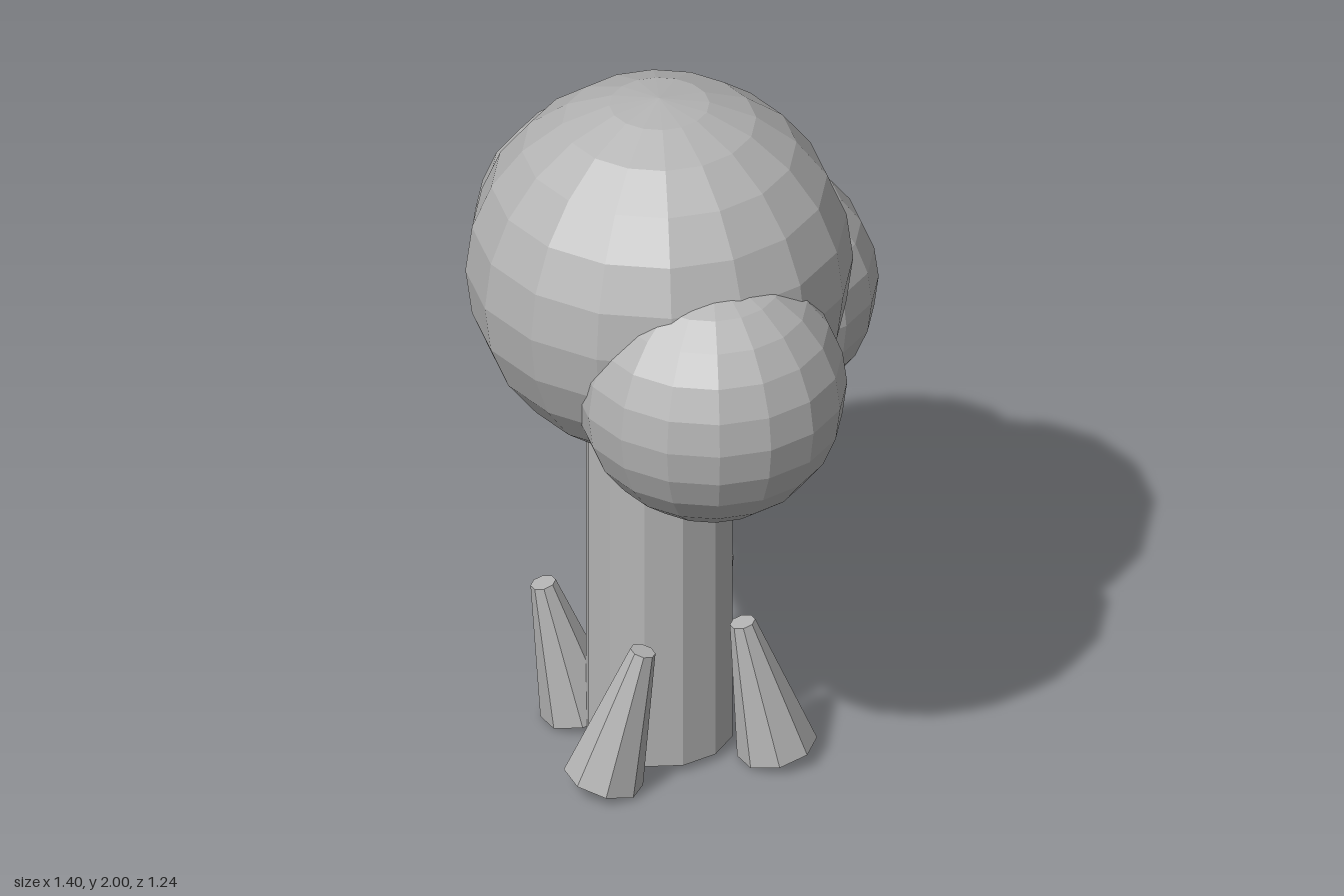
import * as THREE from 'three';

export function createModel() {
  const tree = new THREE.Group();
  tree.name = 'tree';
  const grey = new THREE.MeshStandardMaterial({ color: 0xb4b4b4, flatShading: true });
  grey.name = 'plain grey';

  const add = (name, geometry, x, y, z) => {
    const mesh = new THREE.Mesh(geometry, grey);
    mesh.name = name;
    mesh.position.set(x, y, z);
    tree.add(mesh);
    return mesh;
  };

  // Trunk, reaching up into the crown
  const cx = 0.01, cz = 0.09;
  add('trunk', new THREE.CylinderGeometry(0.2, 0.2, 1.3, 12), cx, 0.67, cz);

  // Crown of four overlapping balls: name, radius, centre
  const balls = [
    ['crownMain', 0.52, 0.01, 1.48, 0.09],
    ['crownRight', 0.395, -0.31, 1.345, -0.105],
    ['crownLeft', 0.365, 0.335, 1.3, 0.25],
    ['crownBack', 0.35, 0.01, 1.26, -0.27],
  ];
  for (const [name, r, x, y, z] of balls) {
    add(name, new THREE.SphereGeometry(r, 16, 12), x, y, z);
  }

  // Tapered roots around the trunk: offset from its axis, then the lean of the top
  const up = new THREE.Vector3(0, 1, 0);
  const roots = [
    ['rootFront', 0.098, 0.258, 0.075, -0.075],
    ['rootLeft', 0.272, -0.098, -0.065, 0.065],
    ['rootRight', -0.26, 0.1, -0.07, 0.07],
    ['rootBack', -0.075, -0.258, 0.075, -0.07],
  ];
  for (const [name, x, z, leanX, leanZ] of roots) {
    const root = add(name, new THREE.CylinderGeometry(0.035, 0.11, 0.406, 8), cx + x, 0.224, cz + z);
    root.quaternion.setFromUnitVectors(up, new THREE.Vector3(leanX, 0.393, leanZ).normalize());
  }
  return tree;
}
